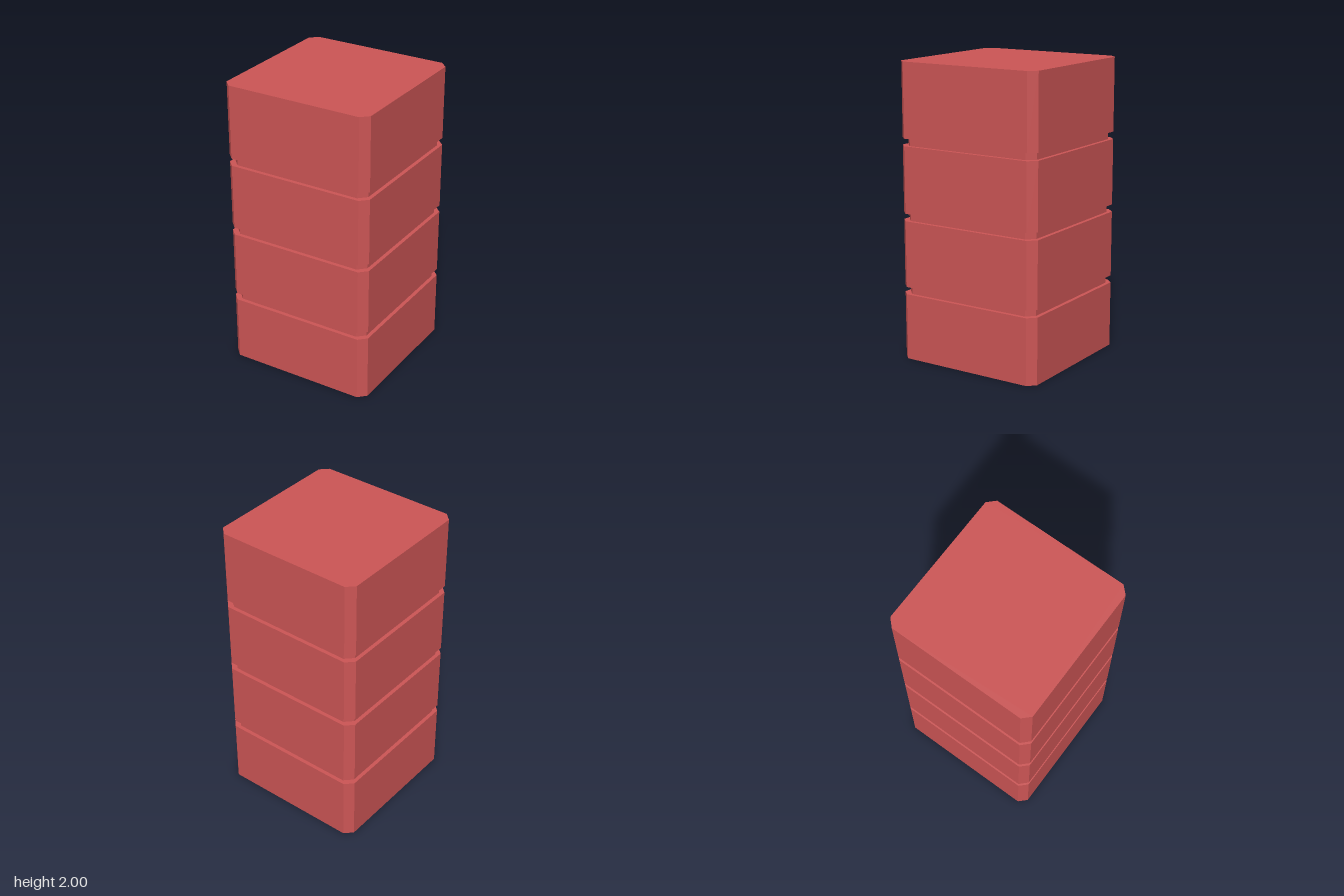
import * as THREE from 'three';

const HEIGHT = 2, TIERS = 4, STEP = HEIGHT / TIERS;
const GROOVE = 0.05, CHAMFER = 0.051;
const OUTER = 0.523, INNER = 0.497;

// Square with cut corners, counter-clockwise seen from above (plan y = -z)
function outline(h) {
  const c = h - CHAMFER;
  return [[h, -c], [h, c], [c, h], [-c, h], [-h, c], [-h, -c], [-c, -h], [c, -h]]
    .map(([x, y]) => new THREE.Vector2(x, y));
}

// Open wall joining two outlines, each given as [half width, height]
function wall([h0, y0], [h1, y1]) {
  const low = outline(h0).map(p => [p.x, y0, -p.y]);
  const high = outline(h1).map(p => [p.x, y1, -p.y]);
  const pos = [];
  for (let i = 0; i < low.length; i++) {
    const j = (i + 1) % low.length;
    pos.push(...low[i], ...low[j], ...high[j], ...low[i], ...high[j], ...high[i]);
  }
  const geo = new THREE.BufferGeometry();
  geo.setAttribute('position', new THREE.Float32BufferAttribute(pos, 3));
  geo.computeVertexNormals();
  return geo;
}

export function createModel() {
  const group = new THREE.Group();
  group.name = 'tieredColumn';
  const material = new THREE.MeshStandardMaterial({
    color: 0xcc5555, flatShading: true, side: THREE.DoubleSide,
  });
  const add = (name, geo) => {
    const mesh = new THREE.Mesh(geo, material);
    mesh.name = name;
    group.add(mesh);
  };

  for (let i = 0; i < TIERS; i++) {
    const base = i * STEP, next = base + STEP;
    const last = i === TIERS - 1;
    const top = last ? next : next - GROOVE;
    add(`tier${i + 1}`, wall([OUTER, base], [OUTER, top]));
    if (last) continue;
    // Recessed groove between this tier and the one above
    add(`lowerLedge${i + 1}`, wall([OUTER, top], [INNER, top]));
    add(`groove${i + 1}`, wall([INNER, top], [INNER, next]));
    add(`upperLedge${i + 1}`, wall([INNER, next], [OUTER, next]));
  }

  // Flat top; the underside stays open
  const lid = new THREE.ShapeGeometry(new THREE.Shape(outline(OUTER)));
  lid.rotateX(-Math.PI / 2).translate(0, HEIGHT, 0);
  add('lid', lid);

  return group;
}
